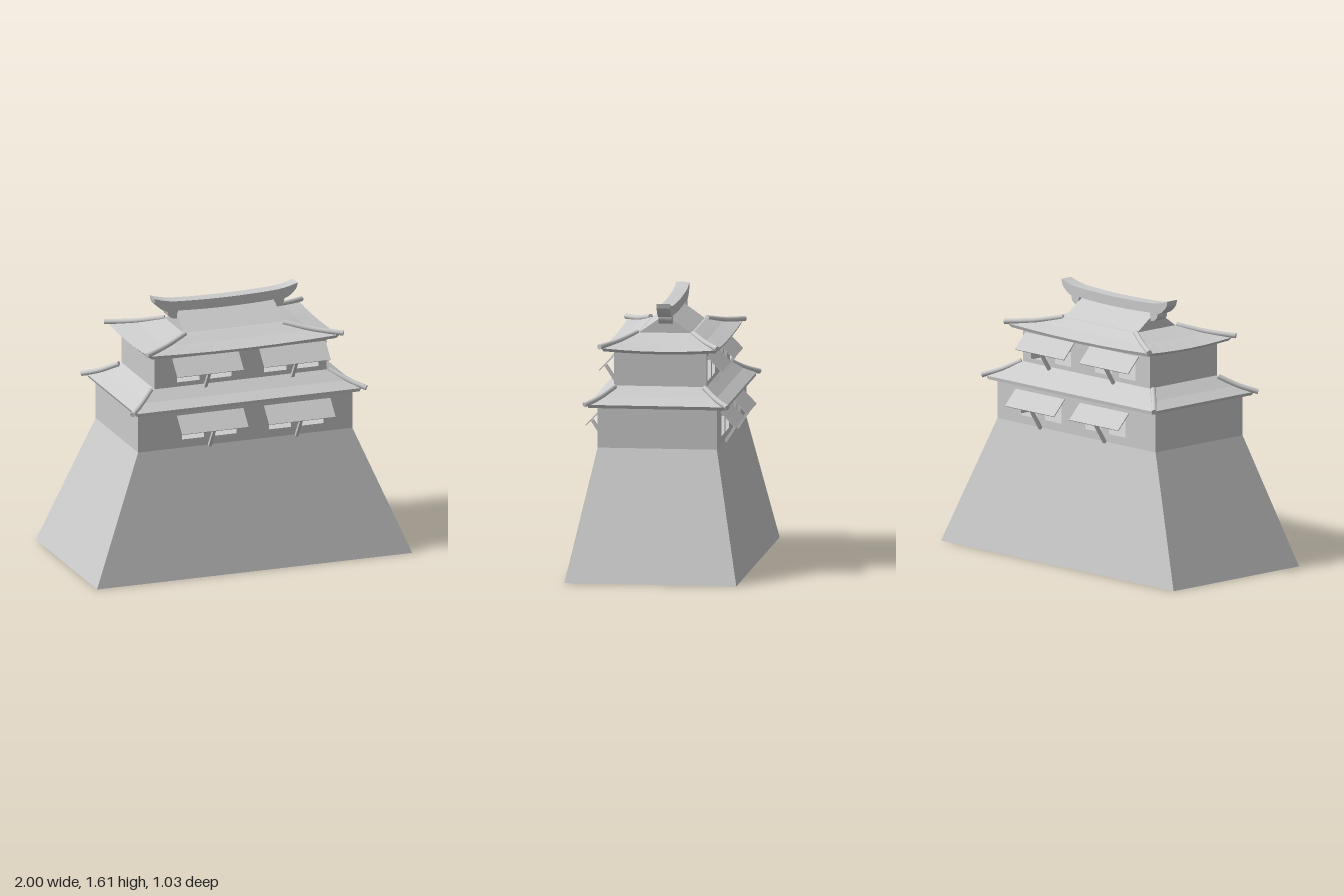
import * as THREE from 'three';

const grey = new THREE.MeshStandardMaterial({ color: 0xcccccc, flatShading: true });
const thin = new THREE.MeshStandardMaterial({ color: 0xcccccc, side: THREE.DoubleSide });

function add(parent, name, geometry, material = grey) {
  const mesh = new THREE.Mesh(geometry, material);
  mesh.name = name;
  parent.add(mesh);
  return mesh;
}

// Closed solid from stacked rectangles [halfX, halfZ, y, cornerLift]
function loft(rings, n = 1) {
  const corners = [[1, 1], [1, -1], [-1, -1], [-1, 1]];
  const loops = rings.map(([hx, hz, y, lift = 0]) => {
    const loop = [];
    for (let s = 0; s < 4; s++) {
      const [ax, az] = corners[s], [bx, bz] = corners[(s + 1) % 4];
      for (let i = 0; i < n; i++) {
        const t = i / n;
        loop.push([hx * (ax + (bx - ax) * t), y + lift * (2 * t - 1) ** 2, hz * (az + (bz - az) * t)]);
      }
    }
    return loop;
  });
  const pos = [], count = 4 * n, last = loops.length - 1;
  const tri = (...points) => points.forEach((p) => pos.push(...p));
  for (let i = 0; i < count; i++) {
    const j = (i + 1) % count;
    for (let r = 0; r < last; r++) {
      tri(loops[r][i], loops[r][j], loops[r + 1][j]);
      tri(loops[r][i], loops[r + 1][j], loops[r + 1][i]);
    }
    tri([0, rings[0][2], 0], loops[0][j], loops[0][i]);
    tri([0, rings[last][2], 0], loops[last][i], loops[last][j]);
  }
  const g = new THREE.BufferGeometry();
  g.setAttribute('position', new THREE.Float32BufferAttribute(pos, 3));
  g.computeVertexNormals();
  return g;
}

function rectangle(PathType, x0, x1, y0, y1) {
  return new PathType([[x0, y0], [x1, y0], [x1, y1], [x0, y1]].map((p) => new THREE.Vector2(...p)));
}

// Flat board or strut between two points in the yz plane
function slab(parent, name, x, width, thickness, [y0, z0], [y1, z1]) {
  const mesh = add(parent, name, new THREE.BoxGeometry(width, Math.hypot(y1 - y0, z1 - z0), thickness));
  mesh.position.set(x, (y0 + y1) / 2, (z0 + z1) / 2);
  mesh.rotation.x = Math.atan2(z1 - z0, y1 - y0);
}

// Hollow storey with window openings, propped shutters front and back
function storey(name, hx, hz, y0, y1, sill) {
  const group = new THREE.Group();
  group.name = name;
  for (const side of [1, -1]) {
    const shift = side > 0 ? 0 : -0.02;
    const wall = rectangle(THREE.Shape, -hx, hx, y0, y1);
    for (const cx of [-0.223, 0.329]) {
      const c = cx + shift;
      for (const w of [c - 0.108, c + 0.098])
        wall.holes.push(rectangle(THREE.Path, w - 0.07, w + 0.07, sill, sill + 0.13));
      slab(group, 'shutter', c, 0.42, 0.006, [sill + 0.152, side * (hz + 0.002)], [sill + 0.06, side * (hz + 0.09)]);
      slab(group, 'shutterProp', c - 0.004, 0.018, 0.018, [sill - 0.055, side * (hz + 0.003)], [sill + 0.062, side * (hz + 0.078)]);
    }
    add(group, 'windowWall', new THREE.ShapeGeometry(wall), thin).position.z = side * hz;
    const end = add(group, 'endWall', new THREE.PlaneGeometry(2 * hz, y1 - y0), thin);
    end.position.set(side * hx, (y0 + y1) / 2, 0);
    end.rotation.y = Math.PI / 2;
  }
  return group;
}

// Rounded, curved bars along the four roof corners
function hipBars(parent, radius, points) {
  for (const sx of [1, -1]) for (const sz of [1, -1]) {
    const curve = new THREE.CatmullRomCurve3(points.map(([x, y, z]) => new THREE.Vector3(x * sx, y, z * sz)));
    add(parent, 'hipBar', new THREE.TubeGeometry(curve, 8, radius, 10), thin);
    for (const t of [0, 1]) {
      const p = curve.getPoint(t);
      const cap = add(parent, 'hipBarEnd', new THREE.CircleGeometry(radius, 10), thin);
      cap.position.copy(p);
      cap.lookAt(p.clone().add(curve.getTangent(t)));
    }
  }
}

function extrudeCentred(shape, depth) {
  return new THREE.ExtrudeGeometry(shape, { depth, bevelEnabled: false, curveSegments: 12 })
    .translate(0, 0, -depth / 2);
}

export function createModel() {
  const model = new THREE.Group();
  model.name = 'castleTower';

  // Sloping stone base
  add(model, 'stoneBase', loft([[1, 0.515, 0], [0.68, 0.357, 0.77]]));

  // Two storeys
  model.add(storey('lowerStorey', 0.68, 0.357, 0.77, 1.015, 0.82));
  model.add(storey('upperStorey', 0.545, 0.276, 1.11, 1.34, 1.152));

  // Skirt roof between the storeys
  add(model, 'lowerRoof', loft([
    [0.705, 0.41, 1.01], [0.715, 0.413, 1.03], [0.635, 0.345, 1.068], [0.545, 0.276, 1.125],
  ]));
  hipBars(model, 0.016, [[0.742, 1.034, 0.428], [0.66, 1.067, 0.352], [0.565, 1.123, 0.268]]);

  // Hipped part of the top roof
  add(model, 'upperRoof', loft([
    [0.585, 0.335, 1.322, 0.012], [0.605, 0.343, 1.34, 0.015], [0.46, 0.25, 1.372, 0.004], [0.312, 0.165, 1.412],
  ], 6));
  hipBars(model, 0.016, [[0.625, 1.366, 0.354], [0.47, 1.381, 0.262], [0.312, 1.413, 0.168]]);

  // Gabled part of the top roof
  const gable = new THREE.Shape();
  gable.moveTo(-0.165, 1.405);
  gable.lineTo(0.165, 1.405);
  gable.lineTo(0, 1.522);
  add(model, 'gableRoof', extrudeCentred(gable, 0.625).rotateY(Math.PI / 2));

  // Curved ridge beam with upswept ends
  const ridge = new THREE.Shape();
  ridge.moveTo(-0.455, 1.605);
  ridge.lineTo(-0.45, 1.577);
  ridge.quadraticCurveTo(-0.42, 1.53, -0.37, 1.515);
  ridge.quadraticCurveTo(-0.37, 1.47, -0.312, 1.467);
  ridge.lineTo(-0.305, 1.516);
  ridge.quadraticCurveTo(0, 1.498, 0.305, 1.516);
  ridge.lineTo(0.312, 1.467);
  ridge.quadraticCurveTo(0.37, 1.47, 0.37, 1.515);
  ridge.quadraticCurveTo(0.42, 1.53, 0.45, 1.577);
  ridge.lineTo(0.455, 1.605);
  ridge.quadraticCurveTo(0.38, 1.578, 0.3, 1.574);
  ridge.quadraticCurveTo(0, 1.558, -0.3, 1.574);
  ridge.quadraticCurveTo(-0.38, 1.578, -0.455, 1.605);
  add(model, 'ridgeBeam', extrudeCentred(ridge, 0.08)).position.z = -0.006;

  return model;
}
